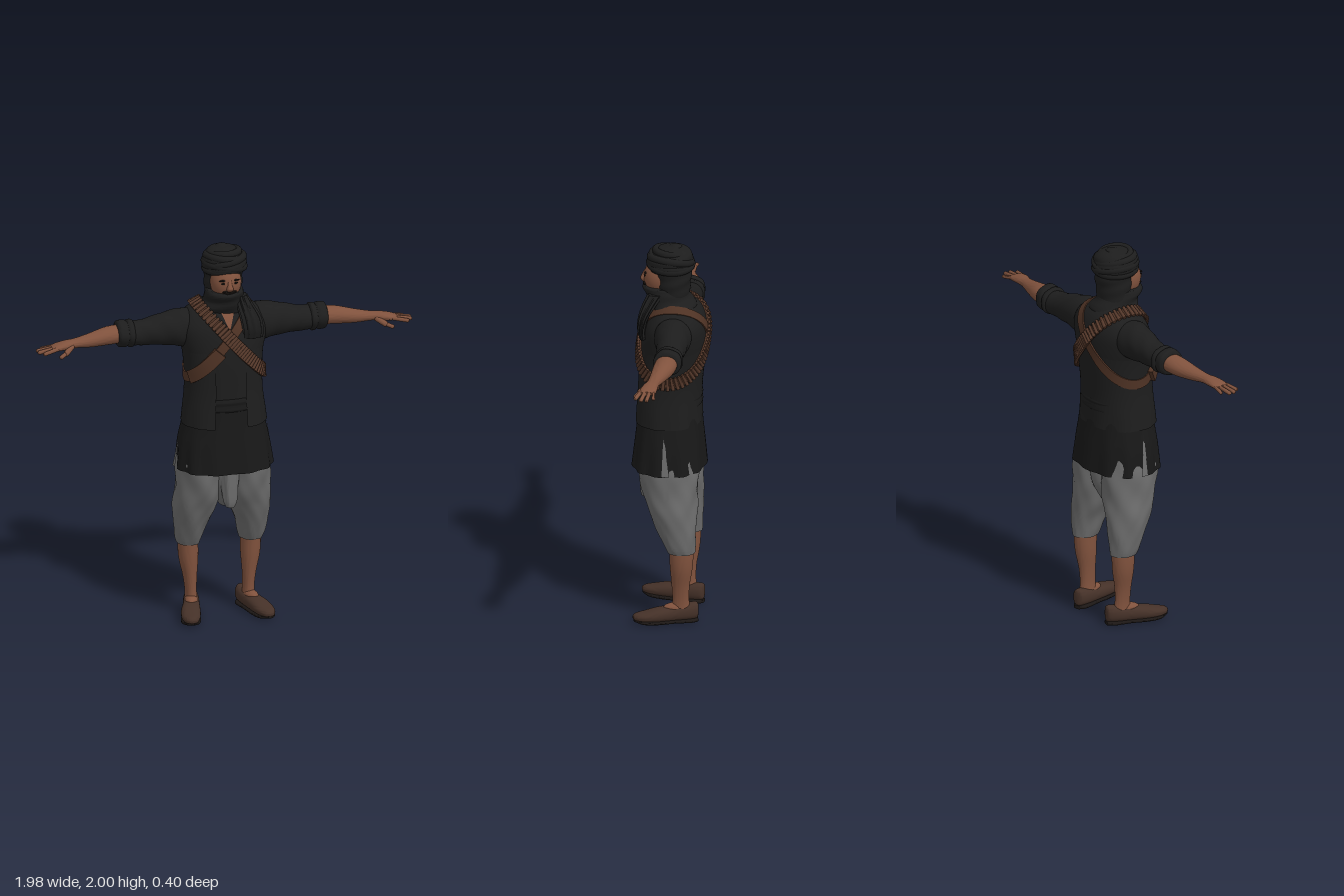
import * as THREE from 'three';
import { toCreasedNormals, mergeGeometries } from 'three/addons/utils/BufferGeometryUtils.js';

const V = (x, y, z) => new THREE.Vector3(x, y, z);
const mat = (name, color, side = THREE.FrontSide) => {
  const m = new THREE.MeshStandardMaterial({ color, side });
  m.name = name;
  return m;
};

// Cross-sections [t, u, v, ru, rv] swept along an axis, smoothed between rings
function loft(rings, { axis = 'y', seg = 40, sub = 4, p = 1, fold = () => 0, arc = null } = {}) {
  const pos = [], idx = [], n = rings.length;
  const [a0, a1] = arc || [0, Math.PI * 2];
  const put = (t, u, v) => pos.push(...(axis === 'y' ? [u, t, v] : axis === 'x' ? [t, u, v] : [u, v, t]));
  const spline = (a, b, c, d, f) =>
    b + 0.5 * f * (c - a + f * (2 * a - 5 * b + 4 * c - d + f * (3 * (b - c) + d - a)));
  const bend = (w) => Math.sign(w) * Math.abs(w) ** p;
  const rows = (n - 1) * sub + 1;
  for (let r = 0; r < rows; r++) {
    const i = Math.min(Math.floor(r / sub), n - 2), f = r / sub - i;
    const at = (k) => rings[Math.max(0, Math.min(n - 1, k))];
    const [t, u, v, ru, rv] = rings[0].map((_, k) => spline(at(i - 1)[k], at(i)[k], at(i + 1)[k], at(i + 2)[k], f));
    for (let j = 0; j <= seg; j++) {
      const th = a0 + (a1 - a0) * j / seg, s = 1 + fold(th, t);
      put(t, u + ru * s * bend(Math.cos(th)), v + rv * s * bend(Math.sin(th)));
    }
  }
  const w = seg + 1;
  const tri = (a, b, c) => (axis === 'y' ? idx.push(a, c, b) : idx.push(a, b, c));
  for (let r = 0; r < rows - 1; r++) for (let j = 0; j < seg; j++) {
    const a = r * w + j;
    tri(a, a + 1, a + w);
    tri(a + 1, a + w + 1, a + w);
  }
  if (!arc) [0, rows - 1].forEach((r, end) => {
    const ring = rings[end ? n - 1 : 0], c = pos.length / 3;
    put(ring[0], ring[1], ring[2]);
    for (let j = 0; j < seg; j++) end ? tri(c, r * w + j, r * w + j + 1) : tri(c, r * w + j + 1, r * w + j);
  });
  return polygon(pos, idx);
}

function polygon(pos, idx) {
  const g = new THREE.BufferGeometry();
  g.setAttribute('position', new THREE.Float32BufferAttribute(pos, 3));
  g.setIndex(idx);
  g.computeVertexNormals();
  return g;
}

const ball = (x, y, z, rx, ry, rz) => new THREE.SphereGeometry(1, 28, 18).scale(rx, ry, rz).translate(x, y, z);

function capsule(a, b, r) {
  const d = b.clone().sub(a), m = a.clone().add(b).multiplyScalar(0.5);
  const q = new THREE.Quaternion().setFromUnitVectors(V(0, 1, 0), d.clone().normalize());
  return new THREE.CapsuleGeometry(r, d.length(), 5, 10).applyQuaternion(q).translate(m.x, m.y, m.z);
}

// Copy a geometry to the other side of the body, with its corners reversed
function mirrored(geo) {
  const g = geo.clone().scale(-1, 1, 1);
  for (const a of Object.values(g.attributes)) for (let i = 0; i < a.count; i += 3) for (let k = 0; k < a.itemSize; k++) {
    const p = (i + 1) * a.itemSize + k, q = (i + 2) * a.itemSize + k;
    [a.array[p], a.array[q]] = [a.array[q], a.array[p]];
  }
  return g;
}

export function createModel() {
  const model = new THREE.Group();
  const skin = mat('skin', 0x80523d), black = mat('black cloth', 0x1d1d1d, THREE.DoubleSide);
  const tunicMat = mat('tunic cloth', 0x181818), grey = mat('grey cloth', 0x6c6c6c, THREE.DoubleSide);
  const leather = mat('leather', 0x4e3224, THREE.DoubleSide), brass = mat('cartridge', 0x55382a);
  const shoeMat = mat('shoe leather', 0x453128), soleMat = mat('sole', 0x1c1715), hair = mat('hair', 0x17120f);

  const add = (name, geo, material) => {
    geo.deleteAttribute('uv');
    const m = new THREE.Mesh(toCreasedNormals(geo, 0.9), material);
    m.name = name;
    model.add(m);
    return m;
  };
  const pair = (name, geo, material) => {
    const m = add(name + 'Left', geo, material);
    const o = new THREE.Mesh(mirrored(m.geometry), material);
    o.name = name + 'Right';
    model.add(o);
  };

  // Shoes, turned outwards
  const foot = (g) => g.rotateY(0.25).translate(0.148, 0, -0.07);
  pair('shoe', foot(loft([[-0.085, 0, 0.06, 0.012, 0.03], [-0.075, 0, 0.06, 0.03, 0.043], [-0.03, 0, 0.056, 0.04, 0.044],
    [0.04, 0, 0.05, 0.043, 0.04], [0.12, 0.003, 0.045, 0.05, 0.036], [0.19, 0.003, 0.038, 0.047, 0.026],
    [0.235, 0, 0.036, 0.03, 0.018], [0.25, 0, 0.036, 0.01, 0.008]], { axis: 'z', seg: 28, p: 0.85 })), shoeMat);
  pair('sole', foot(loft([[-0.083, 0, 0.01, 0.02, 0.01], [-0.05, 0, 0.01, 0.041, 0.01], [0.04, 0, 0.01, 0.042, 0.01],
    [0.13, 0.003, 0.01, 0.051, 0.01], [0.2, 0.003, 0.013, 0.045, 0.01], [0.246, 0, 0.022, 0.014, 0.008]],
  { axis: 'z', seg: 24, p: 0.6 })), soleMat);
  pair('instep', foot(ball(0, 0.078, 0.035, 0.033, 0.026, 0.06)), skin);

  // Bare shins and baggy trousers
  pair('shin', loft([[0.05, 0.15, -0.068, 0.034, 0.05], [0.12, 0.152, -0.066, 0.03, 0.043], [0.2, 0.156, -0.066, 0.036, 0.046],
    [0.3, 0.163, -0.07, 0.05, 0.058], [0.4, 0.165, -0.07, 0.052, 0.062], [0.5, 0.16, -0.06, 0.05, 0.06]]), skin);
  pair('trouserLeg', loft([[0.385, 0.165, -0.07, 0.06, 0.07], [0.42, 0.165, -0.062, 0.07, 0.08], [0.5, 0.16, -0.046, 0.086, 0.1],
    [0.6, 0.142, -0.026, 0.112, 0.122], [0.7, 0.126, -0.01, 0.12, 0.142], [0.85, 0.12, 0, 0.12, 0.155], [1, 0.1, 0, 0.1, 0.14]],
  { seg: 64, sub: 7, fold: (a, y) => 0.025 * Math.sin(5 * a + 26 * y) + 0.012 * Math.sin(9 * a - 34 * y) }), grey);
  add('trouserSeat', loft([[0.6, 0, -0.01, 0.02, 0.05], [0.66, 0, 0, 0.055, 0.1], [0.75, 0, 0, 0.09, 0.14],
    [0.9, 0, 0, 0.1, 0.15]]), grey);
  add('frontFold', loft([[0.625, 0.005, 0.125, 0.022, 0.025], [0.66, 0.005, 0.12, 0.036, 0.038], [0.75, 0.003, 0.11, 0.045, 0.05],
    [0.88, 0, 0.1, 0.055, 0.06]], { fold: (a) => 0.05 * Math.sin(7 * a) }), grey);

  // Long tunic skirt with side slits
  add('tunicSkirt', loft([[0.82, 0.004, 0.007, 0.248, 0.188], [0.95, 0, 0.006, 0.234, 0.176], [1.05, 0, 0.006, 0.214, 0.166],
    [1.2, 0, 0.005, 0.185, 0.155], [1.3, 0, 0, 0.17, 0.145]],
  { seg: 72, p: 0.85, fold: (a, y) => 0.1 * Math.max(0, 1.1 - y) * Math.sin(11 * a) }), tunicMat);
  pair('sideSlit', polygon([0.259, 0.825, -0.02, 0.259, 0.825, 0.02, 0.225, 1.05, 0.014], [0, 2, 1]), grey);

  // Upper body, open waistcoat and sash
  const torso = add('torso', loft([[1.15, 0, 0.005, 0.182, 0.154], [1.25, 0, 0.004, 0.186, 0.155], [1.4, 0, -0.005, 0.198, 0.164],
    [1.5, 0, -0.015, 0.222, 0.166], [1.58, 0, -0.023, 0.232, 0.157], [1.64, 0, -0.028, 0.2, 0.133],
    [1.68, 0, -0.025, 0.145, 0.105], [1.71, 0, -0.01, 0.09, 0.08]], { seg: 64, p: 0.9 }), black);
  const vest = add('waistcoat', loft([[1.062, 0, 0.012, 0.22, 0.172], [1.12, 0, 0.011, 0.214, 0.169], [1.25, 0, 0.006, 0.2, 0.165],
    [1.4, 0, -0.005, 0.203, 0.169], [1.52, 0, -0.017, 0.222, 0.163]],
  { seg: 64, p: 0.9, arc: [Math.PI / 2 + 0.36, Math.PI * 2.5 - 0.36], fold: (a, y) => 0.08 * Math.max(0, 1.2 - y) * Math.sin(9 * a) }), black);
  add('sash', loft([[1.14, 0, 0.005, 0.17, 0.15], [1.155, 0, 0.005, 0.193, 0.166], [1.18, 0, 0.005, 0.19, 0.162],
    [1.2, 0, 0.005, 0.193, 0.166], [1.22, 0, 0.005, 0.17, 0.15]], { p: 0.9 }), tunicMat);

  // Surface lookup so that belts and patches lie on the clothes
  const ray = new THREE.Raycaster();
  const surface = (from, dir) => {
    ray.set(from, dir);
    return ray.intersectObjects([torso, vest], false)[0];
  };

  // Open collar
  const collar = [], collarIdx = [];
  for (let i = 0; i <= 8; i++) for (const s of [-1, 1]) {
    const y = 1.585 + 0.011 * i, x = s * (0.003 + 0.0042 * i);
    collar.push(x, y, surface(V(x, y, 1), V(0, 0, -1)).point.z + 0.005);
    if (i && s > 0) collarIdx.push(2 * i - 2, 2 * i - 1, 2 * i, 2 * i - 1, 2 * i + 1, 2 * i);
  }
  add('openCollar', polygon(collar, collarIdx), skin);

  // Sleeves, rolled cuffs and forearms
  pair('sleeve', loft([[0.1, 1.56, -0.03, 0.09, 0.09], [0.2, 1.563, -0.03, 0.1, 0.095], [0.3, 1.562, -0.036, 0.084, 0.08],
    [0.4, 1.552, -0.04, 0.068, 0.068], [0.48, 1.548, -0.043, 0.062, 0.066]],
  { axis: 'x', fold: (a, x) => 0.02 * Math.sin(60 * x + 3 * a) }), black);
  pair('rolledCuff', loft([[0.462, 1.553, -0.043, 0.055, 0.06], [0.47, 1.553, -0.043, 0.071, 0.073], [0.488, 1.553, -0.043, 0.071, 0.074],
    [0.497, 1.554, -0.042, 0.063, 0.067], [0.508, 1.555, -0.042, 0.07, 0.072], [0.542, 1.556, -0.041, 0.068, 0.07],
    [0.552, 1.556, -0.04, 0.052, 0.058]], { axis: 'x', fold: (a) => 0.025 * Math.sin(5 * a) }), black);
  pair('forearm', loft([[0.5, 1.556, -0.04, 0.046, 0.056], [0.6, 1.552, -0.034, 0.046, 0.056], [0.7, 1.543, -0.015, 0.035, 0.042],
    [0.78, 1.541, 0, 0.024, 0.032], [0.83, 1.539, 0.01, 0.023, 0.039], [0.88, 1.534, 0.016, 0.018, 0.043],
    [0.908, 1.531, 0.018, 0.01, 0.036]], { axis: 'x' }), skin);
  const fingers = [[0.05, 0.955, 0.07, 0.0105], [0.028, 0.976, 0.04, 0.011], [0.006, 0.978, 0.012, 0.0105], [-0.014, 0.95, -0.02, 0.009]]
    .map(([z0, x, z, r]) => capsule(V(0.885, 1.533, z0), V(x, 1.522, z), r));
  fingers.push(capsule(V(0.805, 1.532, 0.03), V(0.84, 1.512, 0.062), 0.015), capsule(V(0.84, 1.512, 0.062), V(0.872, 1.5, 0.08), 0.011));
  pair('fingers', mergeGeometries(fingers), skin);

  // Belt path: a slanted ring of points and normals around the torso
  const ringPath = (side, steps) => {
    const c = V(0.045 * side, 1.485, -0.005), u = V(0.66 * side, -0.75, 0).normalize(), raw = [];
    for (let i = 0; i < steps; i++) {
      const a = i / steps * Math.PI * 2;
      const d = u.clone().multiplyScalar(Math.cos(a)).add(V(0, 0, Math.sin(a)));
      const hit = surface(c.clone().addScaledVector(d, 0.7), d.clone().negate());
      raw.push({ p: hit.point, n: hit.face.normal.clone() });
    }
    const mean = (i, key) => [-2, -1, 0, 1, 2].reduce((s, k) => s.add(raw[(i + k + steps) % steps][key]), V(0, 0, 0));
    const path = raw.map((_, i) => ({ p: mean(i, 'p').multiplyScalar(0.2), n: mean(i, 'n').normalize() }));
    path.forEach((e, i) => {
      const t = path[(i + 1) % steps].p.clone().sub(path[(i + steps - 1) % steps].p);
      e.w = t.cross(e.n).normalize();
    });
    return path;
  };
  const ribbon = (path, width, thick, closed) => {
    const pos = [], idx = [], n = path.length;
    for (const { p, n: out, w } of path) for (const [a, b] of [[-1, -0.012], [1, -0.012], [1, thick], [-1, thick]])
      pos.push(...p.clone().addScaledVector(w, a * width / 2).addScaledVector(out, b).toArray());
    for (let i = 0; i < (closed ? n : n - 1); i++) for (let j = 0; j < 4; j++) {
      const k = (i + 1) % n, a = i * 4 + j, b = i * 4 + (j + 1) % 4, c = k * 4 + j, d = k * 4 + (j + 1) % 4;
      idx.push(a, c, b, b, c, d);
    }
    const e = (n - 1) * 4;
    if (!closed) idx.push(0, 1, 2, 0, 2, 3, e, e + 2, e + 1, e, e + 3, e + 2);
    return polygon(pos, idx);
  };

  // Plain strap with a long pouch, crossed by the cartridge belt
  const strap = ringPath(-1, 64), ammo = ringPath(1, 66);
  add('shoulderStrap', ribbon(strap, 0.05, 0.009, true), leather);
  add('hipPouch', ribbon(strap.slice(4, 16), 0.068, 0.03, false), leather);
  add('cartridgeBelt', ribbon(ammo, 0.05, 0.014, true), leather);
  add('cartridges', mergeGeometries(ammo.map(({ p, n, w }) => {
    const h = w.clone().multiplyScalar(0.033), c = p.clone().addScaledVector(n, 0.015);
    const q = new THREE.Quaternion().setFromUnitVectors(V(0, 1, 0), h.clone().normalize());
    return new THREE.CylinderGeometry(0.008, 0.01, 0.066, 8).applyQuaternion(q).translate(c.x, c.y, c.z);
  })), brass);

  // Face
  add('face', ball(0, 1.822, 0.055, 0.08, 0.1, 0.086), skin);
  add('nose', loft([[1.795, 0, 0.136, 0.015, 0.012], [1.808, 0, 0.14, 0.018, 0.019], [1.83, 0, 0.137, 0.011, 0.014],
    [1.855, 0, 0.13, 0.009, 0.008]], { seg: 16 }), skin);
  add('moustache', ball(0, 1.788, 0.131, 0.038, 0.011, 0.014), hair);
  add('beard', ball(0, 1.765, 0.09, 0.06, 0.024, 0.053), hair);
  pair('eye', ball(0.031, 1.835, 0.132, 0.014, 0.005, 0.004), hair);
  pair('eyebrow', ball(0.033, 1.85, 0.128, 0.021, 0.005, 0.006).rotateZ(0), hair);

  // Scarf around head, chin and neck, with a hanging tail
  const drape = (a, y) => 0.025 * Math.sin(2 * a + 95 * y);
  add('hood', loft([[1.72, 0, -0.01, 0.09, 0.085], [1.79, 0.003, -0.01, 0.098, 0.088], [1.85, 0.004, -0.01, 0.1, 0.095],
    [1.92, 0.004, 0, 0.1, 0.105]], { fold: drape }), black);
  add('neckScarf', loft([[1.655, 0.005, -0.02, 0.14, 0.115], [1.68, 0.005, -0.012, 0.128, 0.122], [1.72, 0.003, 0.008, 0.102, 0.115],
    [1.755, 0, 0.026, 0.1, 0.118], [1.776, 0, 0.026, 0.095, 0.116], [1.78, 0, 0.026, 0.08, 0.1]], { sub: 6, fold: drape }), black);
  add('scarfTail', loft([[1.53, 0.125, 0.13, 0.046, 0.014], [1.58, 0.122, 0.138, 0.05, 0.02], [1.64, 0.112, 0.128, 0.05, 0.026],
    [1.7, 0.09, 0.1, 0.04, 0.035], [1.75, 0.075, 0.07, 0.03, 0.04]], { seg: 56, fold: (a) => 0.12 * Math.sin(10 * a) }), black);

  // Wound turban with a flat knot on top
  add('turban', loft([[1.865, 0.005, 0.005, 0.098, 0.108], [1.885, 0.006, 0.005, 0.11, 0.117], [1.92, 0.006, 0.004, 0.113, 0.119],
    [1.955, 0.004, 0, 0.1, 0.106], [1.98, 0.002, -0.006, 0.07, 0.075], [1.992, 0, -0.012, 0.03, 0.03]], { fold: drape }), black);
  [[1.888, 0.1, 0.1, -0.04], [1.9, 0.103, -0.16, -0.05], [1.92, 0.101, 0.2, -0.12], [1.938, 0.093, -0.12, -0.1], [1.962, 0.074, 0.06, -0.12]]
    .forEach(([y, r, tilt, pitch], i) => add('turbanWrap' + (i + 1),
      new THREE.TorusGeometry(r, 0.017, 12, 48).rotateX(Math.PI / 2).scale(1, 1.15, 1.05).rotateZ(tilt).rotateX(pitch).translate(0.006, y, 0.002), black));
  add('turbanKnot', ball(0, 1.984, -0.02, 0.036, 0.016, 0.036), black);
  return model;
}
